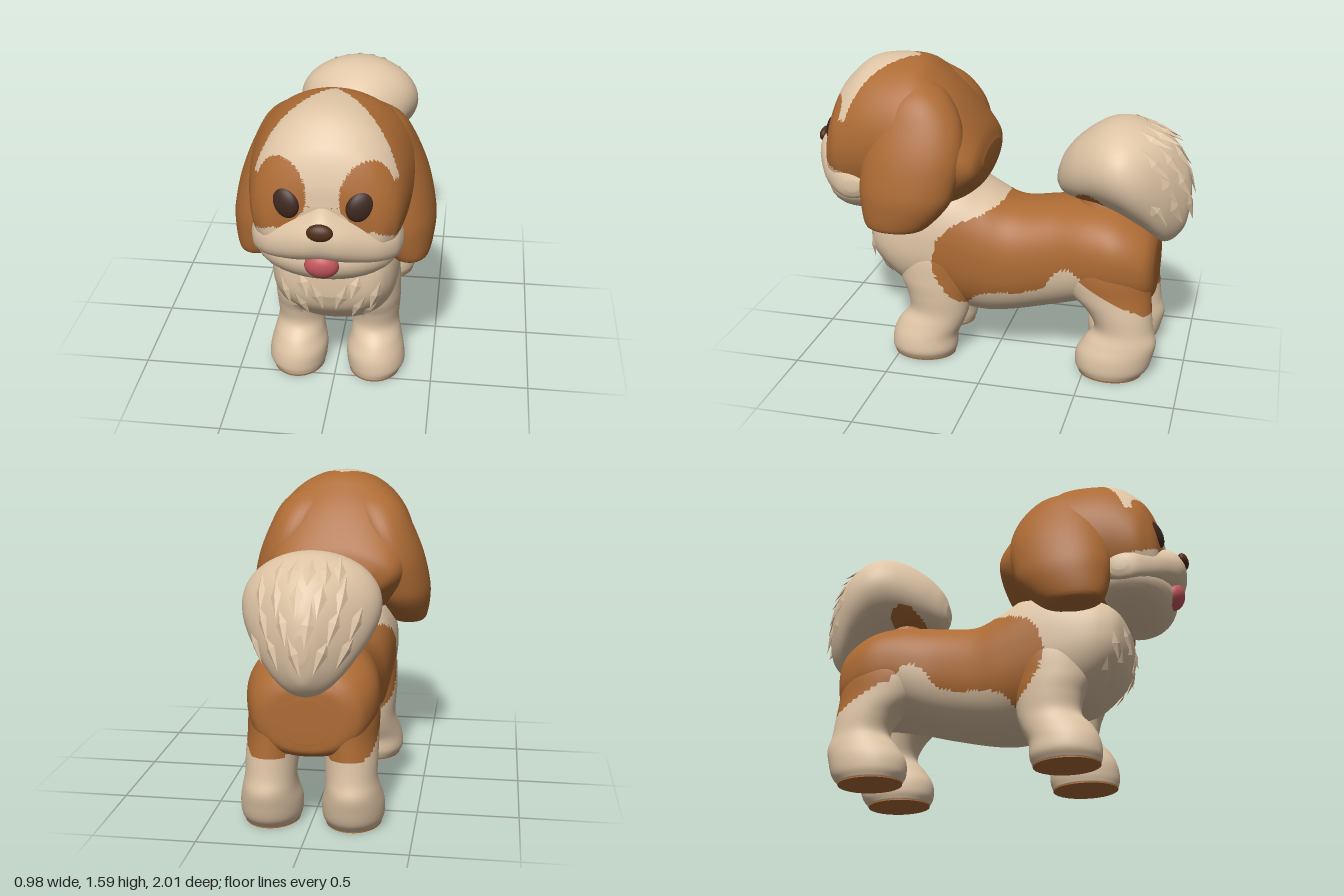
import * as THREE from 'three';

const mat = (name, color) => {
  const m = new THREE.MeshStandardMaterial({ color });
  m.name = name;
  return m;
};

// Smooth skin through oval sections [t, centre1, centre2, radius1, radius2] along an axis
function loft(rows, axis, { steps = 32, sides = 40, power = 2 } = {}) {
  const centres = new THREE.CatmullRomCurve3(rows.map(r => new THREE.Vector3(r[1], r[2], r[0])), false, 'catmullrom', 0.5);
  const radii = new THREE.CatmullRomCurve3(rows.map(r => new THREE.Vector3(r[3], r[4], 0)), false, 'catmullrom', 0.5);
  const pos = [], index = [];
  const bend = v => Math.sign(v) * Math.abs(v) ** (2 / power);
  for (let i = 0; i <= steps; i++) {
    const c = centres.getPoint(i / steps), r = radii.getPoint(i / steps);
    for (let j = 0; j < sides; j++) {
      const a = j / sides * Math.PI * 2;
      pos.push(c.x + r.x * bend(Math.cos(a)), c.y + r.y * bend(Math.sin(a)), c.z);
    }
  }
  for (let i = 0; i < steps; i++) for (let j = 0; j < sides; j++) {
    const k = (j + 1) % sides, a = i * sides + j, b = i * sides + k;
    index.push(a, b, a + sides, b, b + sides, a + sides);
  }
  // Closed ends
  const first = pos.length / 3, last = steps * sides;
  pos.push(...centres.getPoint(0).toArray(), ...centres.getPoint(1).toArray());
  for (let j = 0; j < sides; j++) {
    const k = (j + 1) % sides;
    index.push(first, k, j, first + 1, last + j, last + k);
  }
  const g = new THREE.BufferGeometry();
  g.setAttribute('position', new THREE.Float32BufferAttribute(pos, 3));
  g.setIndex(index);
  if (axis === 'y') g.rotateX(-Math.PI / 2);
  if (axis === 'x') g.rotateY(Math.PI / 2);
  g.computeVertexNormals();
  return g;
}

// Sort faces into two material groups by a rule on each face centre
function paint(g, rule) {
  const p = g.attributes.position, ix = g.index.array, sets = [[], []];
  for (let i = 0; i < ix.length; i += 3) {
    const f = [ix[i], ix[i + 1], ix[i + 2]];
    const mean = k => f.reduce((s, v) => s + p.getComponent(v, k), 0) / 3;
    sets[rule(mean(0), mean(1), mean(2)) ? 1 : 0].push(...f);
  }
  g.setIndex(sets[0].concat(sets[1]));
  g.addGroup(0, sets[0].length, 0);
  g.addGroup(sets[0].length, sets[1].length, 1);
  return g;
}

// Saddle patch outline in (z, y)
const patch = [[-0.06, 0.9], [-0.04, 0.865], [0.05, 0.82], [0.14, 0.795], [0.21, 0.76], [0.27, 0.69], [0.3, 0.58], [0.27, 0.47],
  [0.2, 0.37], [0.13, 0.32], [0.08, 0.38], [0, 0.41], [-0.15, 0.42], [-0.28, 0.46], [-0.34, 0.56], [-0.4, 0.595], [-0.45, 0.58],
  [-0.5, 0.52], [-0.62, 0.46], [-0.82, 0.36], [-1, 0.36], [-1, 1.1], [-0.06, 1.1]];
function inPatch(x, y, z) {
  let inside = false;
  patch.forEach(([z1, y1], i) => {
    const [z2, y2] = patch[(i + 1) % patch.length];
    if ((y1 > y) !== (y2 > y) && z < z1 + (y - y1) / (y2 - y1) * (z2 - z1)) inside = !inside;
  });
  return inside;
}

// Brown hair at the back and sides of the head and round the eyes
function headBrown(x, y, z) {
  const ax = Math.abs(x);
  if (z > 0.6 && ((ax - 0.195) / 0.12) ** 2 + ((y - 1.24) / 0.16) ** 2 < 1) return true;
  if (y > 1.3) return z < 0.42 + 0.95 * ax;
  if (y > 1.2 - 0.5 * ax && ax > 0.1 && (y < 1.22 || ax > 0.2)) return true;
  return y > 1.2 ? z < 0.6 : z < 0.6 + (y - 0.82) * 0.75;
}

const tailBrown = (x, y, z) => ((z + 0.49) / 0.08) ** 2 + ((y - 0.9) / 0.075) ** 2 < 1;

export function createModel() {
  const cream = mat('creamFur', 0xdfc5a6), brown = mat('brownFur', 0xad6b34), dark = mat('eyeDark', 0x3d271f);
  const noseMat = mat('noseBrown', 0x4e2d17), pink = mat('tonguePink', 0xc6585d);
  const dog = new THREE.Group();
  dog.name = 'dog';
  const add = (name, geo, material) => {
    const m = new THREE.Mesh(geo, material);
    m.name = name;
    dog.add(m);
    return m;
  };
  const ball = (name, material, p, r, rot = [0, 0, 0]) => {
    const m = add(name, new THREE.SphereGeometry(1, 32, 20), material);
    m.position.set(...p);
    m.scale.set(...r);
    m.rotation.set(...rot);
  };
  // Rows given as [z, top, bottom, half width]
  const alongZ = rows => rows.map(([z, t, b, w]) => [z, 0, (t + b) / 2, w, (t - b) / 2]);
  // Rows given as [y, x, z, half width, half depth]
  const alongY = (rows, s) => rows.map(([y, x, z, w, d]) => [y, s * x, -z, w, d]);

  // Trunk
  const trunkSkin = loft(alongZ([[-0.84, 0.66, 0.45, 0.1], [-0.83, 0.73, 0.4, 0.21], [-0.78, 0.8, 0.37, 0.275], [-0.65, 0.87, 0.37, 0.318],
    [-0.5, 0.89, 0.35, 0.31], [-0.3, 0.87, 0.29, 0.28], [-0.1, 0.85, 0.24, 0.285], [0.05, 0.915, 0.22, 0.3], [0.2, 1, 0.24, 0.31],
    [0.35, 1, 0.3, 0.32], [0.48, 0.95, 0.35, 0.31], [0.58, 0.9, 0.43, 0.28], [0.65, 0.83, 0.51, 0.22], [0.685, 0.73, 0.6, 0.09]]),
  'z', { steps: 130, sides: 110, power: 2.3 });
  const trunk = add('trunk', paint(trunkSkin, inPatch), [cream, brown]);

  // Head
  const head = loft(alongZ([[0.045, 1.14, 1.03, 0.18], [0.08, 1.23, 0.94, 0.31], [0.19, 1.39, 0.83, 0.375], [0.3, 1.505, 0.79, 0.395],
    [0.4, 1.575, 0.78, 0.4], [0.55, 1.585, 0.77, 0.39], [0.68, 1.56, 0.765, 0.37], [0.78, 1.48, 0.78, 0.345],
    [0.83, 1.41, 0.81, 0.31], [0.87, 1.3, 0.86, 0.25], [0.885, 1.2, 0.95, 0.14]]), 'z', { steps: 130, sides: 120 });
  add('head', paint(head, headBrown), [cream, brown]);

  // Muzzle with full upper lips, rows [x, y, z, half height, half depth]
  const lips = [[0, 1.065, 0.78, 0.15, 0.205], [0.08, 1.045, 0.78, 0.132, 0.195], [0.17, 1.015, 0.76, 0.12, 0.172],
    [0.26, 0.985, 0.735, 0.1, 0.14], [0.33, 0.97, 0.71, 0.078, 0.09], [0.355, 0.965, 0.7, 0.03, 0.035]];
  const lipRows = [...lips.slice(1).reverse().map(([x, ...r]) => [-x, ...r]), ...lips];
  add('muzzle', loft(lipRows.map(([x, y, z, h, d]) => [x, -z, y, d, h]), 'x', { steps: 50, power: 2.2 }), cream);
  ball('lowerJaw', cream, [0, 0.92, 0.71], [0.335, 0.15, 0.215]);
  ball('tongue', pink, [0, 0.92, 0.915], [0.08, 0.068, 0.052], [0.35, 0, 0]);
  ball('nose', noseMat, [0, 1.12, 0.972], [0.06, 0.04, 0.028], [-0.2, 0, 0]);

  const frontLeg = [[0.006, 0.2, 0.375, 0.135, 0.165], [0.05, 0.205, 0.373, 0.15, 0.177], [0.12, 0.2, 0.367, 0.148, 0.176],
    [0.19, 0.2, 0.335, 0.13, 0.175], [0.26, 0.195, 0.295, 0.12, 0.16], [0.35, 0.195, 0.295, 0.125, 0.17], [0.45, 0.19, 0.31, 0.133, 0.19],
    [0.6, 0.185, 0.32, 0.125, 0.18], [0.72, 0.17, 0.32, 0.07, 0.1]];
  const rearLeg = [[0.006, 0.2, -0.635, 0.135, 0.165], [0.05, 0.2, -0.642, 0.15, 0.192], [0.12, 0.2, -0.655, 0.15, 0.2],
    [0.19, 0.2, -0.682, 0.135, 0.185], [0.26, 0.195, -0.697, 0.125, 0.152], [0.35, 0.19, -0.67, 0.13, 0.168],
    [0.45, 0.18, -0.615, 0.138, 0.215], [0.57, 0.175, -0.585, 0.14, 0.235], [0.7, 0.16, -0.58, 0.12, 0.2], [0.78, 0.14, -0.58, 0.06, 0.1]];
  const ear = [[0.762, 0.37, 0.47, 0.07, 0.09], [0.785, 0.37, 0.46, 0.1, 0.16], [0.9, 0.345, 0.42, 0.146, 0.228],
    [1.0, 0.33, 0.405, 0.156, 0.25], [1.15, 0.29, 0.385, 0.162, 0.258], [1.3, 0.24, 0.38, 0.152, 0.23],
    [1.42, 0.19, 0.385, 0.135, 0.16], [1.5, 0.14, 0.39, 0.08, 0.06]];
  for (const [side, s] of [['left', 1], ['right', -1]]) {
    // Legs with flat pads
    for (const [part, rows] of [['FrontLeg', frontLeg], ['RearLeg', rearLeg]]) {
      add(side + part, paint(loft(alongY(rows, s), 'y', { steps: 56, sides: 48 }), inPatch), [cream, brown]);
      const pad = add(side + part + 'Pad', new THREE.CylinderGeometry(1, 1, 0.009, 32), brown);
      pad.position.set(s * rows[0][1], 0.0045, rows[0][2]);
      pad.scale.set(rows[0][3], 1, rows[0][4]);
    }
    // Ears and eyes
    add(side + 'Ear', loft(alongY(ear, s), 'y', { power: 2.1 }), brown);
    ball(side + 'Eye', dark, [s * 0.17, 1.205, 0.858], [0.066, 0.077, 0.035], [-0.15, s * 0.35, -s * 0.6]);
  }

  // Plumed tail with a brown underside at its root
  const tailSkin = loft(alongZ([[-0.985, 1.0, 0.88, 0.03], [-0.955, 1.11, 0.76, 0.09], [-0.87, 1.24, 0.69, 0.205], [-0.76, 1.3, 0.77, 0.3],
    [-0.65, 1.325, 0.84, 0.33], [-0.54, 1.305, 0.88, 0.295], [-0.42, 1.225, 0.89, 0.205], [-0.34, 1.13, 0.91, 0.11],
    [-0.305, 1.04, 0.95, 0.04]]), 'z', { steps: 64, sides: 56 });
  const tail = add('tail', paint(tailSkin, tailBrown), [cream, brown]);
  const tailRoot = add('tailRoot', new THREE.CylinderGeometry(0.09, 0.14, 0.16, 24), brown);
  tailRoot.position.set(0, 0.91, -0.54);

  // Pointed locks of fur lying on a part, found by a ray along its surface
  const v = (...a) => new THREE.Vector3(...a), ray = new THREE.Raycaster();
  const lock = (name, part, from, aim, flow, len, width) => {
    ray.set(from, aim.clone().normalize());
    const { point, face: { normal } } = ray.intersectObject(part)[0];
    const y = flow.clone().addScaledVector(normal, -flow.dot(normal)).normalize().addScaledVector(normal, 0.12).normalize();
    const x = v().crossVectors(y, normal).normalize();
    const m = add(name, new THREE.OctahedronGeometry(1), cream);
    m.quaternion.setFromRotationMatrix(new THREE.Matrix4().makeBasis(x, y, v().crossVectors(x, y)));
    m.position.copy(point);
    m.scale.set(width, len, width * 0.4);
  };
  for (let row = 0; row < 4; row++) for (let i = -2; i <= 2; i++) {
    const a = (i + (row % 2) * 0.5 - 0.25) * 0.4, e = 0.95 - row * 0.4;
    const n = v(Math.sin(a) * Math.cos(e), Math.sin(e), -Math.cos(a) * Math.cos(e));
    lock('tailLock', tail, v(0, 1.0, -0.65).add(n), n.clone().negate(), v(-0.06 * i, -1, -0.9), 0.11, 0.03);
  }
  for (const s of [1, -1]) for (const [x, y] of [[0.06, 0.6], [0.14, 0.53], [0.22, 0.6], [0.13, 0.67], [0.19, 0.48]]) {
    lock('chestLock', trunk, v(s * x, y, 2), v(0, 0, -1), v(-s * 0.35, -1, 0), 0.085, 0.03);
  }
  return dog;
}
